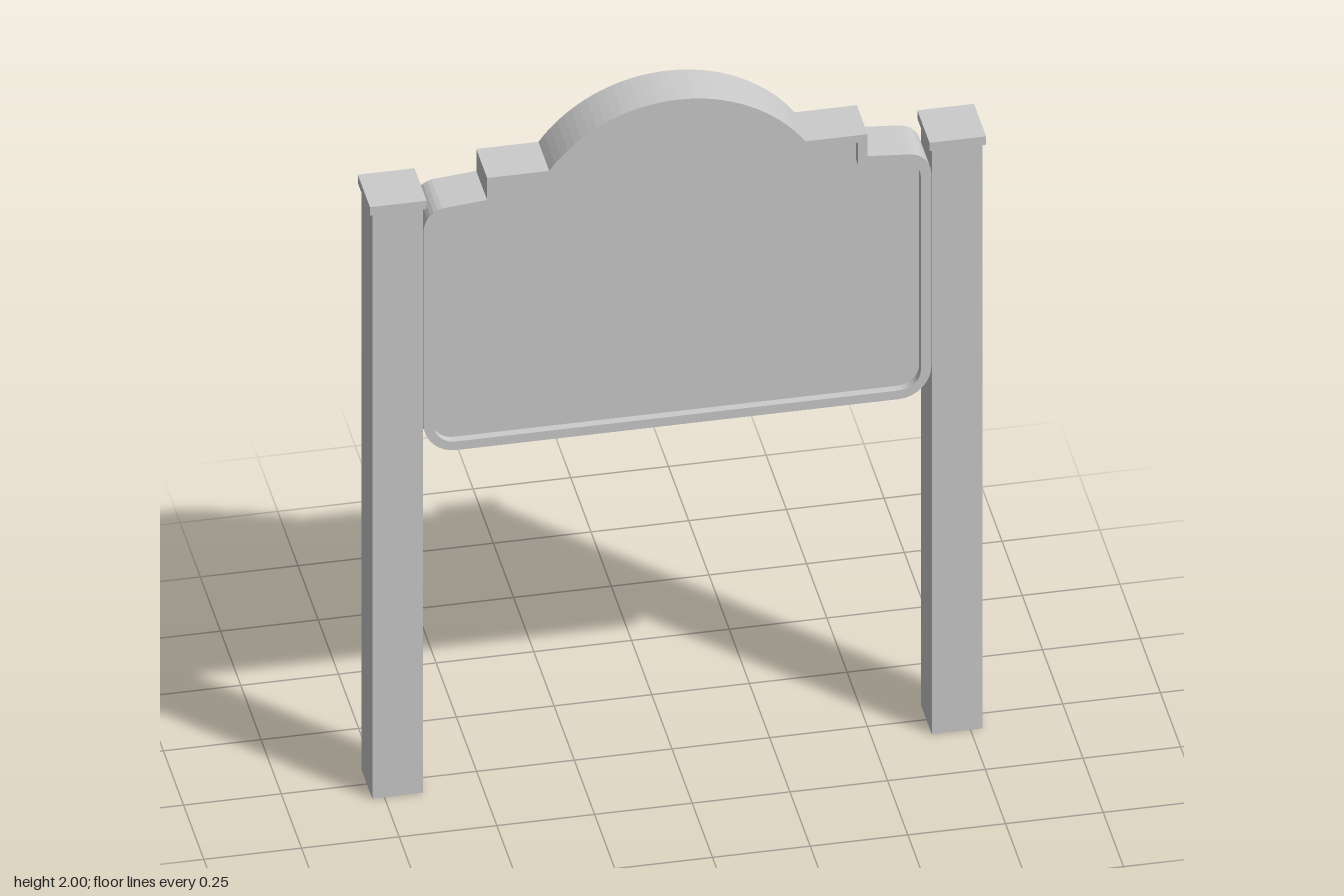
import * as THREE from 'three';

const material = new THREE.MeshStandardMaterial({ color: 0xcccccc, flatShading: true });

// Board outline: half of it is drawn from bottom centre to crown, then mirrored.
function boardOutline({ side, bottom, bottomIn, bottomUp, topUp, topIn, shoulderY, stepX, stepY, archX, crown }) {
  const k = 0.45; // pulls the corner curves close to circular arcs
  const half = new THREE.Path();
  half.moveTo(0, bottom);
  half.lineTo(bottomIn, bottom);
  half.bezierCurveTo(
    side - (side - bottomIn) * k, bottom,
    side, bottomUp - (bottomUp - bottom) * (1 - k),
    side, bottomUp);
  half.lineTo(side, topUp);
  half.bezierCurveTo(
    side, topUp + (shoulderY - topUp) * (1 - k),
    side - (side - topIn) * k, shoulderY,
    topIn, shoulderY);
  half.lineTo(stepX, shoulderY + 0.009);
  half.lineTo(stepX, stepY);
  half.lineTo(archX, stepY);
  const rise = crown - stepY;
  const radius = (archX * archX + rise * rise) / (2 * rise);
  const centreY = crown - radius;
  half.absarc(0, centreY, radius, Math.atan2(stepY - centreY, archX), Math.PI / 2, false);

  const right = half.getPoints(8);
  const left = right.slice(1, -1).reverse().map((p) => new THREE.Vector2(-p.x, p.y));
  return [...right, ...left];
}

function extrudeCentred(shape, depth) {
  const geometry = new THREE.ExtrudeGeometry(shape, { depth, bevelEnabled: false });
  return geometry.translate(0, 0, -depth / 2);
}

function addMesh(parent, name, geometry) {
  const mesh = new THREE.Mesh(geometry, material);
  mesh.name = name;
  parent.add(mesh);
  return mesh;
}

function addBox(parent, name, [w, h, d], [x, y, z]) {
  addMesh(parent, name, new THREE.BoxGeometry(w, h, d)).position.set(x, y, z);
}

export function createModel() {
  const model = new THREE.Group();
  model.name = 'signBoard';

  const outer = boardOutline({
    side: 0.65, bottom: 1.021, bottomIn: 0.566, bottomUp: 1.11, topUp: 1.69, topIn: 0.59,
    shoulderY: 1.755, stepX: 0.487, stepY: 1.83, archX: 0.328, crown: 2,
  });
  const inner = boardOutline({
    side: 0.623, bottom: 1.047, bottomIn: 0.566, bottomUp: 1.10, topUp: 1.685, topIn: 0.575,
    shoulderY: 1.732, stepX: 0.462, stepY: 1.808, archX: 0.307, crown: 1.974,
  });

  // Raised rim, open in the middle
  const rim = new THREE.Shape(outer);
  rim.holes.push(new THREE.Path(inner));
  addMesh(model, 'frame', extrudeCentred(rim, 0.134));

  // Panel recessed on both faces
  addMesh(model, 'panel', extrudeCentred(new THREE.Shape(inner), 0.09));

  // Square posts with flat caps
  for (const [side, label] of [[1, 'left'], [-1, 'right']]) {
    addBox(model, `${label}Post`, [0.13, 1.765, 0.134], [side * 0.716, 0.8825, 0]);
    addBox(model, `${label}PostCap`, [0.145, 0.025, 0.15], [side * 0.716, 1.7755, 0]);
  }
  return model;
}
